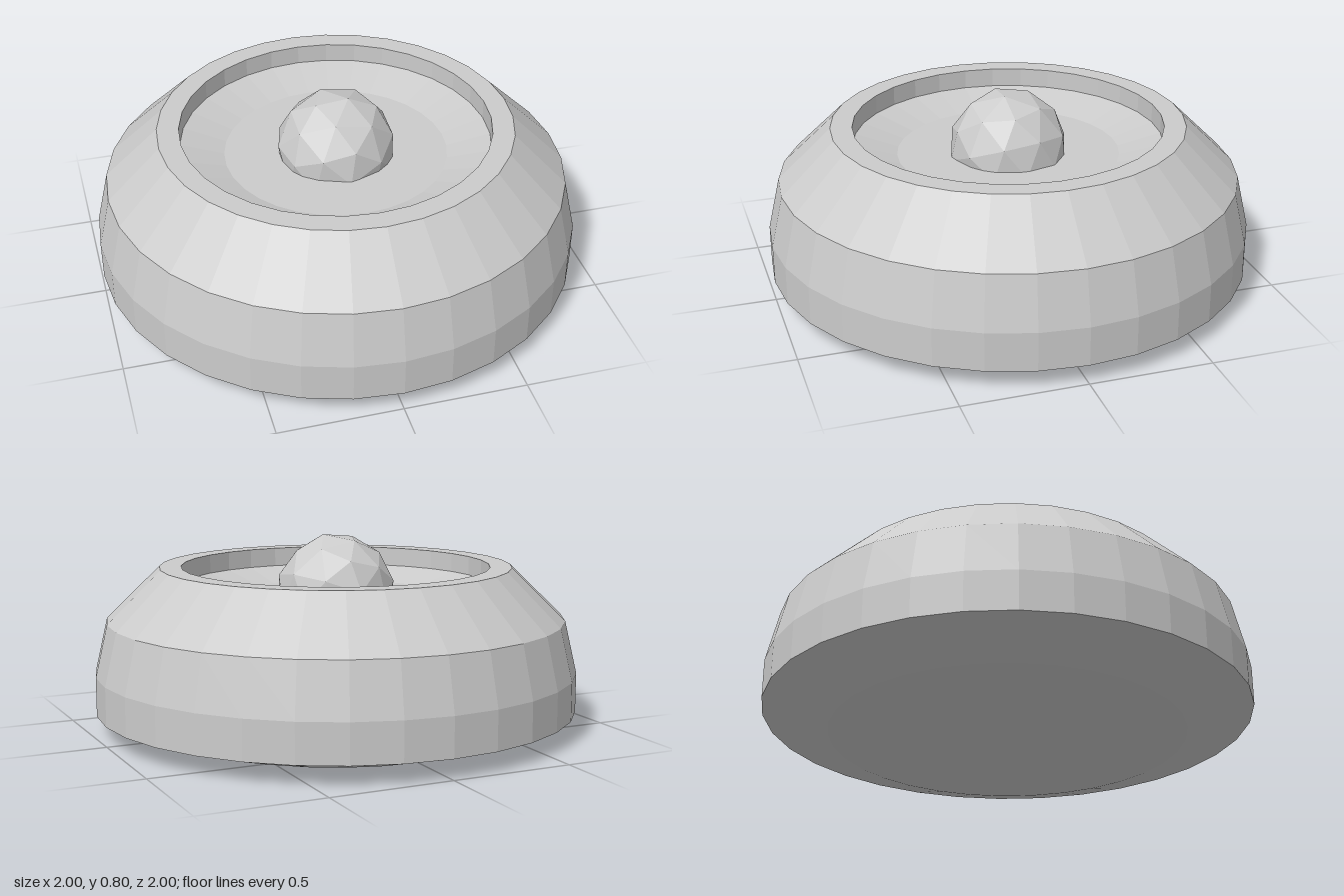
import * as THREE from 'three';

const material = new THREE.MeshStandardMaterial({ color: 0xcccccc, flatShading: true });

function addPart(group, name, geometry) {
  const mesh = new THREE.Mesh(geometry, material);
  mesh.name = name;
  group.add(mesh);
  return mesh;
}

export function createModel() {
  const group = new THREE.Group();
  group.name = 'domedButton';

  // Faceted housing: base, bevelled wall, rim and recessed dish in one profile
  const profile = [
    [0, 0], [0.73, 0], [1, 0.08], [1, 0.24], [0.95, 0.455], [0.73, 0.67],
    [0.64, 0.67], [0.64, 0.59], [0.46, 0.54], [0, 0.54],
  ].map(([r, y]) => new THREE.Vector2(r, y));
  addPart(group, 'housing', new THREE.LatheGeometry(profile, 32));

  // Low-poly ball half sunk in the dish, slightly tilted
  const ball = addPart(group, 'ball', new THREE.IcosahedronGeometry(0.247, 1));
  ball.position.y = 0.555;
  ball.rotation.set(0.12, 0, -0.18);

  return group;
}
